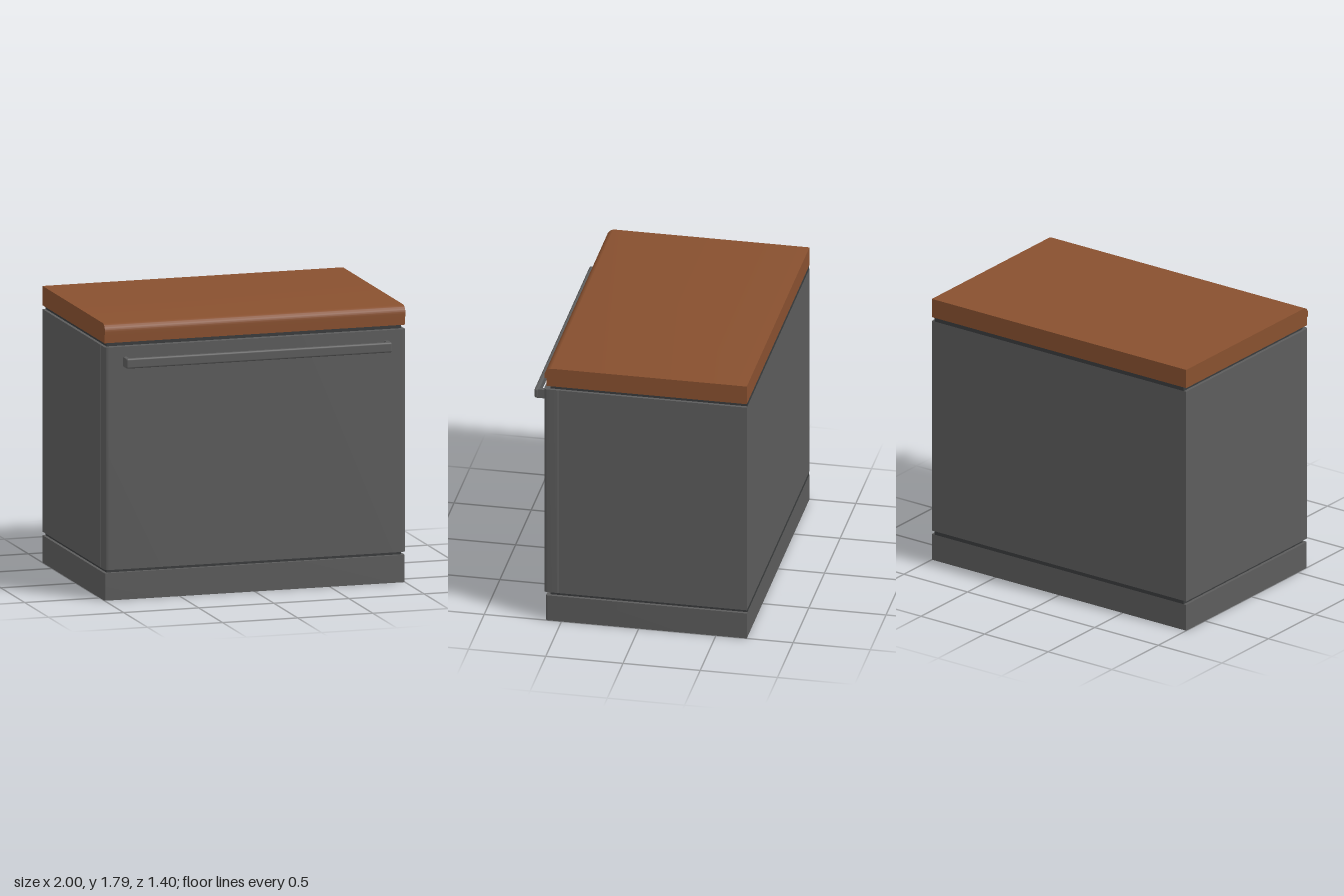
import * as THREE from 'three';
import { toCreasedNormals } from 'three/addons/utils/BufferGeometryUtils.js';
import { RoundedBoxGeometry } from 'three/addons/geometries/RoundedBoxGeometry.js';

const grey = new THREE.MeshStandardMaterial({ name: 'grey enamel', color: 0x5c5c5c });
const dark = new THREE.MeshStandardMaterial({ name: 'dark recess', color: 0x3a3c3d });
const wood = new THREE.MeshStandardMaterial({ name: 'brown wood', color: 0x88502f });

// Upright slab between two heights, with rounded vertical front (and optionally back) edges
function slab(halfWidth, y0, y1, back, front, rFront, rBack = 0) {
  const s = new THREE.Shape();
  const w = halfWidth;
  s.moveTo(-w, -front + rFront);
  s.quadraticCurveTo(-w, -front, -w + rFront, -front);
  s.lineTo(w - rFront, -front);
  s.quadraticCurveTo(w, -front, w, -front + rFront);
  s.lineTo(w, -back - rBack);
  if (rBack) s.quadraticCurveTo(w, -back, w - rBack, -back);
  s.lineTo(-w + rBack, -back);
  if (rBack) s.quadraticCurveTo(-w, -back, -w, -back - rBack);
  s.closePath();
  const g = new THREE.ExtrudeGeometry(s, { depth: y1 - y0, bevelEnabled: false, curveSegments: 6 });
  g.rotateX(-Math.PI / 2).translate(0, y0, 0);
  return toCreasedNormals(g, 0.6);
}

// Worktop: side profile with a rounded nose and a stepped underside
function worktopGeometry() {
  const s = new THREE.Shape();
  s.moveTo(-0.7, 1.665);
  s.lineTo(0.597, 1.665);
  s.lineTo(0.597, 1.72);
  s.lineTo(0.61, 1.72);
  s.lineTo(0.61, 1.74);
  s.absarc(0.56, 1.74, 0.05, 0, Math.PI / 2, false);
  s.lineTo(-0.7, 1.79);
  s.closePath();
  const g = new THREE.ExtrudeGeometry(s, { depth: 2, bevelEnabled: false, curveSegments: 8 });
  g.rotateY(-Math.PI / 2).translate(1, 0, 0);
  return toCreasedNormals(g, 0.6);
}

export function createModel() {
  const model = new THREE.Group();
  model.name = 'kitchenAppliance';

  const add = (name, geometry, material, x = 0, y = 0, z = 0) => {
    const mesh = new THREE.Mesh(geometry, material);
    mesh.name = name;
    mesh.position.set(x, y, z);
    model.add(mesh);
  };
  const box = (w, h, d) => new THREE.BoxGeometry(w, h, d);

  // Plinth, cabinet and the recessed gaps between them
  add('plinth', slab(1, 0, 0.177, -0.7, 0.6, 0.01), grey);
  add('lowerGap', box(1.96, 0.023, 1.275), dark, 0, 0.1885, -0.0625);
  add('cabinet', box(2, 1.44, 1.22), grey, 0, 0.92, -0.09);
  add('upperGap', box(1.96, 0.025, 1.275), dark, 0, 1.6525, -0.0625);
  add('worktop', worktopGeometry(), wood);

  // Door with rounded vertical edges
  add('door', slab(1, 0.2, 1.64, 0.52, 0.615, 0.025, 0.008), grey);

  // Handle bar on two end posts
  add('handleBar', new RoundedBoxGeometry(1.77, 0.066, 0.03, 3, 0.012), grey, 0, 1.544, 0.685);
  for (const side of [-1, 1]) {
    add(side > 0 ? 'leftHandlePost' : 'rightHandlePost', box(0.025, 0.06, 0.075), grey, side * 0.87, 1.544, 0.645);
  }
  return model;
}
